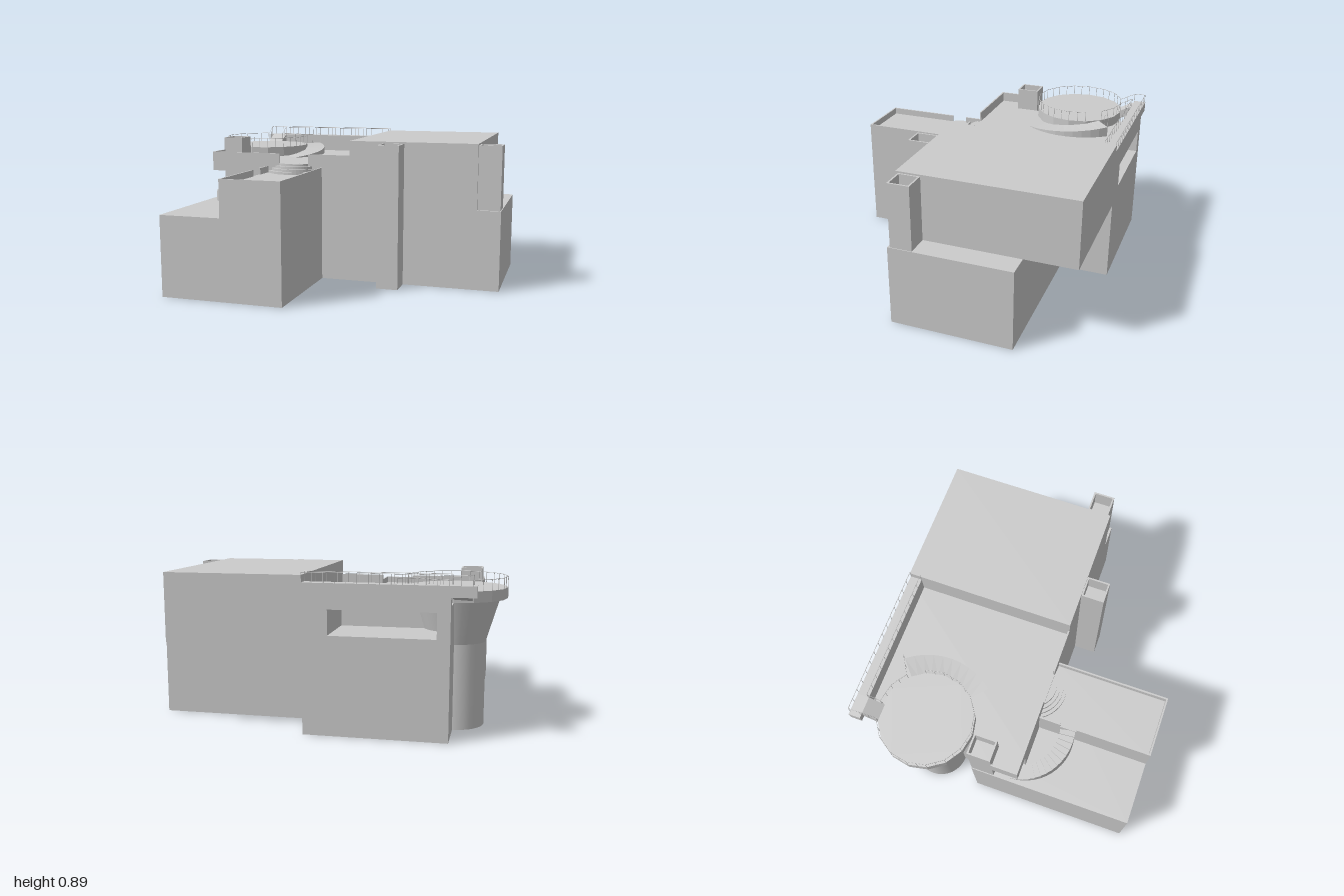
import * as THREE from 'three';

const material = new THREE.MeshStandardMaterial({ color: 0xcccccc, side: THREE.DoubleSide });
const V = (x, y, z) => new THREE.Vector3(x, y, z);

function add(parent, name, geometry) {
  const mesh = new THREE.Mesh(geometry, material);
  mesh.name = name;
  parent.add(mesh);
  return mesh;
}

// Box given by its limits on each axis
function block(parent, name, x0, x1, y0, y1, z0, z1) {
  const mesh = add(parent, name, new THREE.BoxGeometry(x1 - x0, y1 - y0, z1 - z0));
  mesh.position.set((x0 + x1) / 2, (y0 + y1) / 2, (z0 + z1) / 2);
  return mesh;
}

// Footprint of [x, z] points raised from y0 to y1, with an optional hole
function slab(parent, name, points, y0, y1, hole) {
  const toPoints = list => list.map(([x, z]) => new THREE.Vector2(x, -z));
  const shape = new THREE.Shape(toPoints(points));
  if (hole) shape.holes.push(new THREE.Path(toPoints(hole)));
  const geometry = new THREE.ExtrudeGeometry(shape, { depth: y1 - y0, bevelEnabled: false });
  geometry.rotateX(-Math.PI / 2);
  geometry.translate(0, y0, 0);
  return add(parent, name, geometry);
}

const rect = (x0, x1, z0, z1) => [[x0, z0], [x1, z0], [x1, z1], [x0, z1]];

// Rectangular frame with thin walls, open above and below
function frame(parent, name, x0, x1, y0, y1, z0, z1, t = 0.01) {
  slab(parent, name, rect(x0, x1, z0, z1), y0, y1, rect(x0 + t, x1 - t, z0 + t, z1 - t));
}

function chimney(parent, name, x0, x1, y0, y1, z0, z1) {
  block(parent, name, x0, x1, y0, y1 - 0.1, z0, z1);
  frame(parent, name + 'Rim', x0, x1, y1 - 0.1, y1, z0, z1);
}

function bar(parent, name, a, b) {
  const mesh = add(parent, name, new THREE.CylinderGeometry(0.0016, 0.0016, a.distanceTo(b), 5));
  mesh.position.copy(a).add(b).multiplyScalar(0.5);
  mesh.quaternion.setFromUnitVectors(V(0, 1, 0), b.clone().sub(a).normalize());
}

// Handrail with posts along a line of floor points
function railing(parent, name, path, height, spacing) {
  const group = new THREE.Group();
  group.name = name;
  parent.add(group);
  const up = p => p.clone().add(V(0, height, 0));
  bar(group, 'post', path[0], up(path[0]));
  for (let i = 1; i < path.length; i++) {
    const a = path[i - 1], b = path[i];
    bar(group, 'handrail', up(a), up(b));
    const n = Math.max(1, Math.round(a.distanceTo(b) / spacing));
    for (let k = 1; k <= n; k++) {
      const p = a.clone().lerp(b, k / n);
      bar(group, 'post', p, up(p));
    }
  }
}

// Points on an arc, angles in degrees from +x towards +z
function arc(cx, cz, r, a0, a1, n) {
  return Array.from({ length: n + 1 }, (_, i) => {
    const a = THREE.MathUtils.degToRad(a0 + (a1 - a0) * i / n);
    return [cx + r * Math.cos(a), cz + r * Math.sin(a)];
  });
}

export function createModel() {
  const model = new THREE.Group();

  // Lower storey
  slab(model, 'lowerStorey', [[0.99, 0.17], [0.99, -0.55], [0.07, -0.55], [0.07, -0.85], [-0.72, -0.85],
    [-0.72, -0.13], [-0.85, -0.13], [-0.85, 0.85], [-0.11, 0.85], [-0.11, 0.17]], 0, 0.48);

  // Upper storey: tall half, and low half with a window recess at the back
  block(model, 'tallUpperStorey', 0.07, 0.85, 0.48, 0.87, -0.85, 0.17);
  block(model, 'recessFloor', -0.72, 0.07, 0.48, 0.55, -0.85, 0.17);
  block(model, 'lowUpperStorey', -0.72, 0.07, 0.55, 0.69, -0.5, 0.17);
  block(model, 'recessEnd', -0.07, 0.07, 0.55, 0.69, -0.85, -0.5);
  block(model, 'recessEnd', -0.72, -0.65, 0.55, 0.69, -0.85, -0.5);
  block(model, 'lowRoof', -0.72, 0.07, 0.69, 0.72, -0.85, 0.17);
  frame(model, 'overhangFrame', 0.07, 0.58, 0.45, 0.48, -0.83, -0.7);

  // Covered corner passage beside the stair
  block(model, 'passageRoof', -0.85, -0.72, 0.66, 0.72, 0.01, 0.17);

  // Roof parapet with an opening for the steps
  block(model, 'parapet', -0.85, -0.39, 0.72, 0.78, 0.16, 0.17);
  block(model, 'parapet', -0.2, 0.07, 0.72, 0.78, 0.16, 0.17);
  block(model, 'parapet', -0.85, -0.84, 0.72, 0.78, 0.01, 0.16);

  // Chimneys
  chimney(model, 'leftChimney', 0.85, 0.985, 0.48, 0.86, 0.025, 0.155);
  chimney(model, 'frontChimney', 0.28, 0.41, 0, 0.86, 0.17, 0.31);
  chimney(model, 'rightChimney', -0.845, -0.72, 0.48, 0.86, -0.13, 0.01);

  // Terrace with thin walls
  block(model, 'terrace', -0.475, -0.11, 0.48, 0.66, 0.17, 0.85);
  block(model, 'terraceWall', -0.475, -0.465, 0.66, 0.7, 0.17, 0.3);
  block(model, 'terraceWall', -0.475, -0.465, 0.66, 0.7, 0.4, 0.85);
  block(model, 'terraceWall', -0.12, -0.11, 0.66, 0.7, 0.17, 0.85);
  block(model, 'terraceWall', -0.465, -0.12, 0.66, 0.7, 0.84, 0.85);

  // Rounded steps from the terrace to the roof
  [0.195, 0.175, 0.155, 0.135].forEach((r, i) => {
    const edge = THREE.MathUtils.radToDeg(Math.asin(0.096 / r));
    slab(model, 'roundedStep', arc(-0.295, 0.075, r, edge, 180 - edge, 16), 0.66, 0.675 + i * 0.015);
  });

  // Curved stair from the passage to the terrace
  const steps = 14, from = 178, to = 78;
  for (let i = 0; i < steps; i++) {
    const a0 = from + (to - from) * i / steps, a1 = from + (to - from) * (i + 1) / steps;
    const outer = arc(-0.53, 0.1, 0.3, a0, a1, 1), inner = arc(-0.53, 0.1, 0.21, a1, a0, 1);
    slab(model, 'stairStep', [...outer, ...inner], 0.48, 0.48 + 0.172 * (i + 1) / steps);
  }

  // Round tower: shaft flaring into a sixteen-sided platform
  const cx = -0.72, cz = -0.43;
  const shaft = new THREE.LatheGeometry([[0.165, 0], [0.165, 0.48]].map(p => new THREE.Vector2(...p)), 32);
  add(model, 'towerShaft', shaft).position.set(cx, 0, cz);
  const flare = new THREE.CylinderGeometry(0.24, 0.165, 0.25, 32, 1, true);
  add(model, 'towerFlare', flare).position.set(cx, 0.605, cz);
  slab(model, 'platform', arc(cx, cz, 0.28, 0, 360, 16).slice(0, -1), 0.725, 0.785);

  // Curved ramp from the platform down to the roof, built from cross-sections
  const n = 10, position = [], index = [];
  const inner = arc(cx, cz, 0.27, -41, 40, n), outer = arc(cx, cz, 0.4, -41, 40, n);
  for (let i = 0; i <= n; i++) {
    const top = 0.782 - 0.06 * i / n;
    [[inner[i], 0.715], [inner[i], top], [outer[i], top], [outer[i], 0.715]]
      .forEach(([p, y]) => position.push(p[0], y, p[1]));
    if (i < n) for (let k = 0; k < 4; k++) {
      const a = i * 4 + k, b = i * 4 + (k + 1) % 4;
      index.push(a, a + 4, b, b, a + 4, b + 4);
    }
  }
  index.push(0, 1, 2, 0, 2, 3);
  const ramp = new THREE.BufferGeometry();
  ramp.setAttribute('position', new THREE.Float32BufferAttribute(position, 3));
  ramp.setIndex(index);
  const flatRamp = ramp.toNonIndexed();
  flatRamp.computeVertexNormals();
  add(model, 'curvedRamp', flatRamp);

  // Back walkway, overhanging at its end, with a short ramp to the platform
  block(model, 'walkway', -0.72, 0.07, 0.72, 0.83, -0.85, -0.78);
  block(model, 'walkwayEnd', -0.85, -0.72, 0.77, 0.83, -0.85, -0.78);
  const link = new THREE.Shape([[0.78, 0.83], [0.69, 0.785], [0.69, 0.735], [0.78, 0.77]]
    .map(p => new THREE.Vector2(...p)));
  const linkGeometry = new THREE.ExtrudeGeometry(link, { depth: 0.1, bevelEnabled: false });
  linkGeometry.rotateY(Math.PI / 2);
  add(model, 'linkRamp', linkGeometry).position.set(-0.82, 0, 0);

  // Railings
  const onFloor = y => ([x, z]) => V(x, y, z);
  railing(model, 'platformRailing', arc(cx, cz, 0.278, 22.5, 247.5, 10).map(onFloor(0.785)), 0.06, 0.06);
  railing(model, 'platformRailing', [...arc(cx, cz, 0.278, -90, -45, 2), outer[0]].map(onFloor(0.785)), 0.06, 0.06);
  railing(model, 'platformRailing', arc(cx, cz, 0.278, -22.5, 22.5, 2).map(onFloor(0.785)), 0.06, 0.06);
  railing(model, 'walkwayRailing', [V(0.07, 0.83, -0.848), V(-0.83, 0.83, -0.848),
    V(-0.83, 0.83, -0.78), V(-0.82, 0.785, -0.69)], 0.055, 0.06);
  railing(model, 'walkwayRailing', [V(0.07, 0.83, -0.782), V(-0.72, 0.83, -0.782),
    V(-0.72, 0.785, -0.7)], 0.055, 0.06);

  return model;
}
